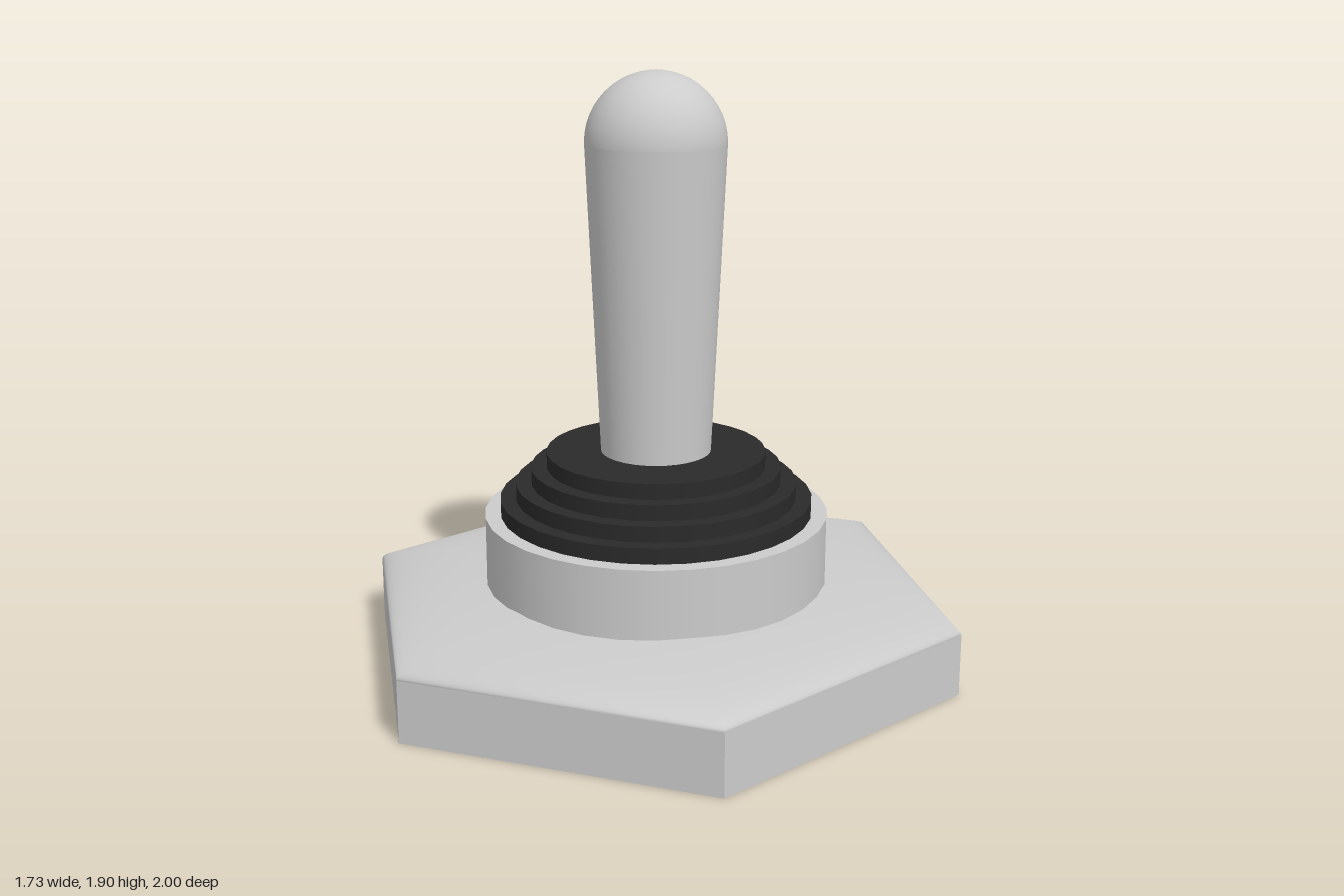
import * as THREE from 'three';

const grey = new THREE.MeshStandardMaterial({ color: 0xcccccc });
const rubber = new THREE.MeshStandardMaterial({ color: 0x2a2a2a });
const SEGMENTS = 32;

export function createModel() {
  const model = new THREE.Group();
  model.name = 'toggleSwitch';

  const add = (name, geometry, material, y, parent = model) => {
    const mesh = new THREE.Mesh(geometry, material);
    mesh.name = name;
    mesh.position.y = y;
    parent.add(mesh);
    return mesh;
  };
  // Cylinder spanning y0 to y1
  const column = (name, rTop, rBottom, y0, y1, material, parent) =>
    add(name, new THREE.CylinderGeometry(rTop, rBottom, y1 - y0, SEGMENTS), material, (y0 + y1) / 2, parent);

  // Hexagonal nut with corners on the z axis
  const nut = new THREE.CylinderGeometry(1, 1, 0.2, 6).toNonIndexed();
  nut.computeVertexNormals(); // crisp side faces
  add('hexNut', nut, grey, 0.1);

  // Shallow six-sided dome over the nut
  const dome = new THREE.SphereGeometry(1, 6, 24, 0, Math.PI * 2, 0, Math.PI / 2);
  dome.rotateY(Math.PI / 2);
  dome.scale(1, 0.1, 1);
  add('nutDome', dome, grey, 0.2);

  // Round collar
  column('collar', 0.55, 0.55, 0.2, 0.5, grey);

  // Stepped rubber boot
  const boot = new THREE.Group();
  boot.name = 'rubberBoot';
  model.add(boot);
  for (let i = 0; i < 4; i++) {
    const r = 0.5 - i * 0.05;
    const y = 0.5 + i * 0.05;
    column('bootRing' + (i + 1), r, r, y, y + 0.05, rubber, boot);
  }

  // Tapered lever with a rounded tip
  const lever = new THREE.Group();
  lever.name = 'lever';
  model.add(lever);
  column('leverShaft', 0.22, 0.175, 0.68, 1.68, grey, lever);
  add('leverTip', new THREE.SphereGeometry(0.22, SEGMENTS, 12, 0, Math.PI * 2, 0, Math.PI / 2), grey, 1.68, lever);

  return model;
}
